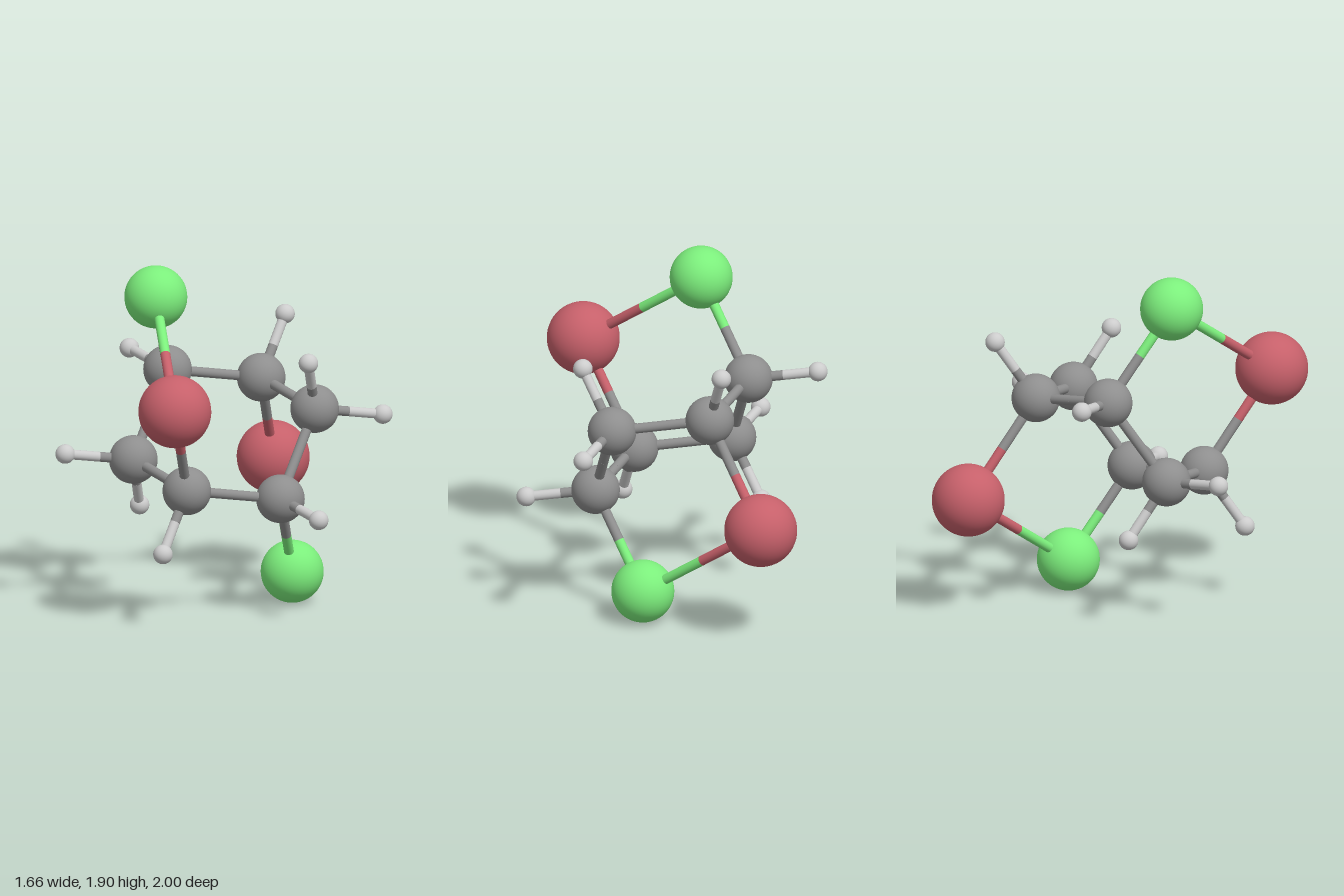
import * as THREE from 'three';

const BOND_RADIUS = 0.027;
const CENTRE = new THREE.Vector3(0, 0.953, 0);
const UP = new THREE.Vector3(0, 1, 0);

// Atom kinds: radius and colour
const KINDS = {
  carbon: { radius: 0.132, color: 0x8e8e8e },
  hydrogen: { radius: 0.053, color: 0xcccccc },
  chlorine: { radius: 0.171, color: 0x7cee7c },
  bromine: { radius: 0.198, color: 0xc6606a },
};

// Half of the atoms, relative to the centre; the other half is their point reflection
const ATOMS = {
  ringA: ['carbon', -0.418, 0.296, -0.035],
  ringB: ['carbon', -0.100, 0.224, -0.450],
  ringC: ['carbon', 0.404, 0.148, -0.281],
  chlorine: ['chlorine', -0.236, 0.780, 0.297],
  bromine: ['bromine', 0.297, 0.303, 0.803],
  hydrogenA: ['hydrogen', -0.776, 0.346, -0.153],
  hydrogenB: ['hydrogen', -0.110, 0.537, -0.671],
  hydrogenC1: ['hydrogen', 0.518, 0.448, -0.083],
  hydrogenC2: ['hydrogen', 0.638, 0.098, -0.580],
};

// Bonds from an atom to another; a leading '-' means the reflected partner
const BONDS = [
  ['ringA', 'ringB'], ['ringB', 'ringC'], ['ringC', '-ringA'],
  ['ringA', 'chlorine'], ['chlorine', 'bromine'], ['bromine', '-ringB'],
  ['ringA', 'hydrogenA'], ['ringB', 'hydrogenB'],
  ['ringC', 'hydrogenC1'], ['ringC', 'hydrogenC2'],
];

export function createModel() {
  const model = new THREE.Group();
  model.name = 'molecule';

  const materials = {};
  const spheres = {};
  for (const [kind, { radius, color }] of Object.entries(KINDS)) {
    materials[kind] = new THREE.MeshStandardMaterial({ color });
    spheres[kind] = new THREE.SphereGeometry(radius, 40, 28);
  }
  const rod = new THREE.CylinderGeometry(BOND_RADIUS, BOND_RADIUS, 1, 20);

  // Position and kind of an atom, on the given side of the reflection
  const locate = (key, sign) => {
    const s = key.startsWith('-') ? -sign : sign;
    const [kind, x, y, z] = ATOMS[key.replace('-', '')];
    return { kind, position: new THREE.Vector3(x, y, z).multiplyScalar(s).add(CENTRE) };
  };

  // One half of a bond, in the colour of the atom it starts from
  const halfBond = (from, to, kind) => {
    const mesh = new THREE.Mesh(rod, materials[kind]);
    const direction = to.clone().sub(from);
    mesh.name = kind + 'HalfBond';
    mesh.scale.y = direction.length();
    mesh.position.copy(from).add(to).multiplyScalar(0.5);
    mesh.quaternion.setFromUnitVectors(UP, direction.normalize());
    return mesh;
  };

  for (const sign of [1, -1]) {
    const half = new THREE.Group();
    half.name = sign > 0 ? 'upperHalf' : 'lowerHalf';

    // Atoms
    for (const key of Object.keys(ATOMS)) {
      const { kind, position } = locate(key, sign);
      const atom = new THREE.Mesh(spheres[kind], materials[kind]);
      atom.name = key + 'Atom';
      atom.position.copy(position);
      half.add(atom);
    }

    // Two-coloured bonds, split midway
    for (const [a, b] of BONDS) {
      const start = locate(a, sign);
      const end = locate(b, sign);
      const middle = start.position.clone().lerp(end.position, 0.5);
      const bond = new THREE.Group();
      bond.name = 'bond';
      bond.add(halfBond(start.position, middle, start.kind), halfBond(end.position, middle, end.kind));
      half.add(bond);
    }
    model.add(half);
  }
  return model;
}
